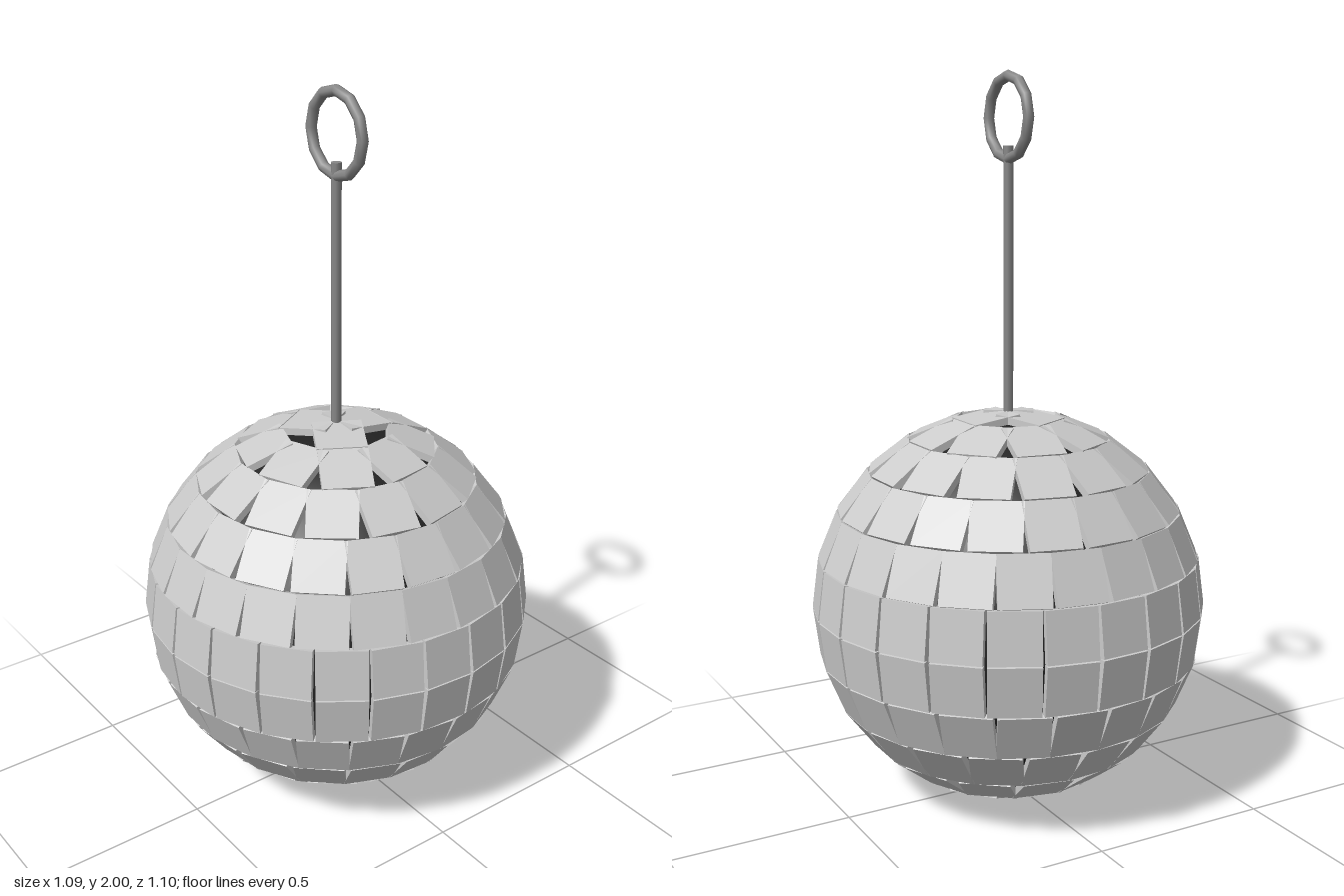
import * as THREE from 'three';
import { mergeGeometries } from 'three/addons/utils/BufferGeometryUtils.js';

const CENTER_Y = 0.546;
const FACE_R = 0.54;      // radius to the outside face of each tile
const TILE = 0.138;
const DEPTH = 0.02;

// One ring of flat square tiles at a latitude, the first one facing +x
function tileRow(latitude, count) {
  const tiles = [];
  for (let i = 0; i < count; i++) {
    const tile = new THREE.BoxGeometry(DEPTH, TILE, TILE);
    tile.translate(FACE_R - DEPTH / 2, 0, 0);
    tile.rotateZ(latitude);
    tile.rotateY((i / count) * Math.PI * 2);
    tiles.push(tile);
  }
  return mergeGeometries(tiles);
}

export function createModel() {
  const model = new THREE.Group();
  const mirror = new THREE.MeshStandardMaterial({ color: 0xcccccc });
  const dark = new THREE.MeshStandardMaterial({ color: 0x222222 });
  const metal = new THREE.MeshStandardMaterial({ color: 0x888888 });

  const add = (parent, name, geometry, material, y = 0) => {
    const mesh = new THREE.Mesh(geometry, material);
    mesh.name = name;
    mesh.position.y = y;
    parent.add(mesh);
    return mesh;
  };

  // Mirror ball: dark core with rows of tiles, fewer per row toward the poles
  const ball = new THREE.Group();
  ball.name = 'mirrorBall';
  ball.position.y = CENTER_Y;
  model.add(ball);
  add(ball, 'core', new THREE.SphereGeometry(0.522, 48, 32), dark);
  [23, 22, 19, 14, 9, 3].forEach((count, row) => {
    const latitude = THREE.MathUtils.degToRad(7.5 + 15 * row);
    add(ball, `upperTileRow${row + 1}`, tileRow(latitude, count), mirror);
    add(ball, `lowerTileRow${row + 1}`, tileRow(-latitude, count), mirror);
  });

  // Hanging rod, sunk a little into the ball
  const bottom = 1.04, top = 1.805;
  add(model, 'hangingRod', new THREE.CylinderGeometry(0.014, 0.014, top - bottom, 8), metal, (bottom + top) / 2);

  // Ring at the top of the rod, facing sideways
  const ring = add(model, 'hangingRing', new THREE.TorusGeometry(0.108, 0.015, 8, 12), metal, 1.877);
  ring.rotation.y = Math.PI / 2;

  return model;
}
